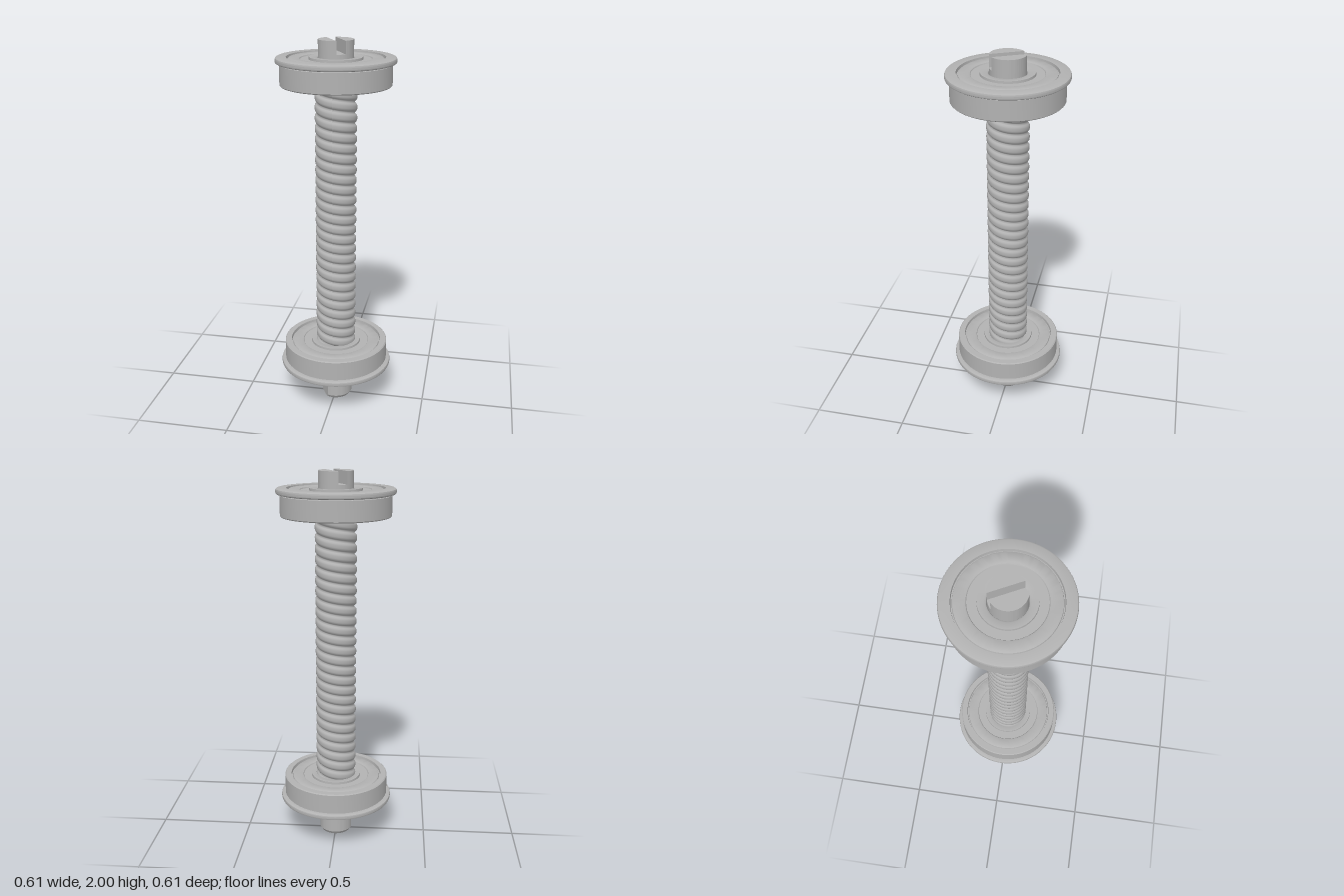
import * as THREE from 'three';
import { toCreasedNormals } from 'three/addons/utils/BufferGeometryUtils.js';

const R = 0.09; // plain shaft radius
const TURN = 0.48; // direction of slot and flat about the axis

const steel = new THREE.MeshStandardMaterial({ color: 0xb2b2b2 });
steel.name = 'steel grey';

function part(name, geometry, crease = 0.5) {
  const mesh = new THREE.Mesh(crease ? toCreasedNormals(geometry, crease) : geometry, steel);
  mesh.name = name;
  return mesh;
}

// Profile points run from the bottom up, outside of the solid on the right
const lathe = (points, segments = 96) =>
  new THREE.LatheGeometry(points.map(([r, y]) => new THREE.Vector2(r, y)), segments);

// Two-start screw thread: a cylinder sheared along the helix, grooved row by row
function threadGeometry() {
  const pitch = 0.055, lead = 2 * pitch, rows = 8, count = 28, low = 0.29;
  const profile = [0.095, 0.102, 0.107, 0.1085, 0.1085, 0.1085, 0.107, 0.102];
  const geo = new THREE.CylinderGeometry(1, 1, 1, 64, rows * count, true);
  const pos = geo.attributes.position, uv = geo.attributes.uv;
  for (let i = 0; i < pos.count; i++) {
    const row = Math.round(uv.getY(i) * rows * count);
    const r = profile[row % rows], turn = uv.getX(i);
    pos.setXYZ(i, pos.getX(i) * r, low + (row / rows) * pitch - lead * (((turn + 0.5) % 1) - 0.5), pos.getZ(i) * r);
  }
  // Keep the helix continuous: the seam column at turn = 0.5 needs one side only
  return geo;
}

function thread() {
  const geo = threadGeometry();
  const pos = geo.attributes.position, uv = geo.attributes.uv;
  // Undo the wrap so each column is sheared evenly around the full turn
  for (let i = 0; i < pos.count; i++) {
    const t = uv.getX(i), wrapped = ((t + 0.5) % 1) - 0.5;
    pos.setY(i, pos.getY(i) + 0.11 * (wrapped - (t - 0.5)));
  }
  geo.computeVertexNormals();
  return part('screwThread', geo, 0);
}

// Lower journal with a flat cut on one side and a chamfered end
function journal() {
  const geo = lathe([[0, 0], [0.078, 0], [R, 0.018], [R, 0.28]], 128);
  const pos = geo.attributes.position;
  for (let i = 0; i < pos.count; i++) pos.setX(i, Math.max(pos.getX(i), -0.067));
  const mesh = part('flattedJournal', geo, 0.3);
  mesh.rotation.y = TURN;
  return mesh;
}

// Upper end with a screwdriver slot between two raised halves
function slottedHead() {
  const head = new THREE.Group();
  head.name = 'slottedHead';
  head.add(part('headBase', lathe([[R, 1.8], [R, 1.935], [0, 1.935]])));
  const a = Math.acos(0.0235 / R);
  for (const side of [0, 1]) {
    const shape = new THREE.Shape();
    shape.absarc(0, 0, R, -a, a, false);
    shape.closePath();
    const geo = new THREE.ExtrudeGeometry(shape, { depth: 0.065, bevelEnabled: false, curveSegments: 40 });
    geo.rotateX(-Math.PI / 2);
    geo.rotateY(side * Math.PI);
    geo.translate(0, 1.935, 0);
    head.add(part('headHalf', geo));
  }
  head.rotation.y = TURN;
  return head;
}

// Ball bearing with its flange at the top
function bearing(name) {
  const H = 0.071;
  // Inner ring, recessed shield and outer ring, from the bore outwards
  const face = [
    [0.092, H - 0.012], [0.095, H - 0.005], [0.103, H], [0.135, H],
    [0.136, H - 0.012], [0.179, H - 0.012], [0.182, H - 0.007], [0.19, H - 0.004],
    [0.234, H - 0.004], [0.24, H - 0.008], [0.242, H - 0.016], [0.247, H - 0.016], [0.249, H],
  ];
  const points = [
    ...face.map(([r, y]) => [r, -y]),
    [0.279, -H], [0.284, -H + 0.005],
    [0.284, H - 0.036], [0.279, H - 0.034], [0.279, H - 0.03],
    [0.297, H - 0.03], [0.303, H - 0.026], [0.305, H - 0.02],
    [0.305, H - 0.012], [0.302, H - 0.004], [0.295, H],
    ...[...face].reverse(),
    [0.092, -H + 0.012],
  ];
  const group = new THREE.Group();
  group.name = name;
  group.add(part('flangedBearing', lathe(points), 0.6));
  return group;
}

export function createModel() {
  const model = new THREE.Group();
  model.name = 'wormShaft';

  const upper = bearing('upperBearing');
  upper.position.y = 1.844;
  const lower = bearing('lowerBearing');
  lower.position.y = 0.277;
  lower.rotation.z = Math.PI;

  model.add(thread(), journal(), slottedHead(), upper, lower);
  return model;
}
